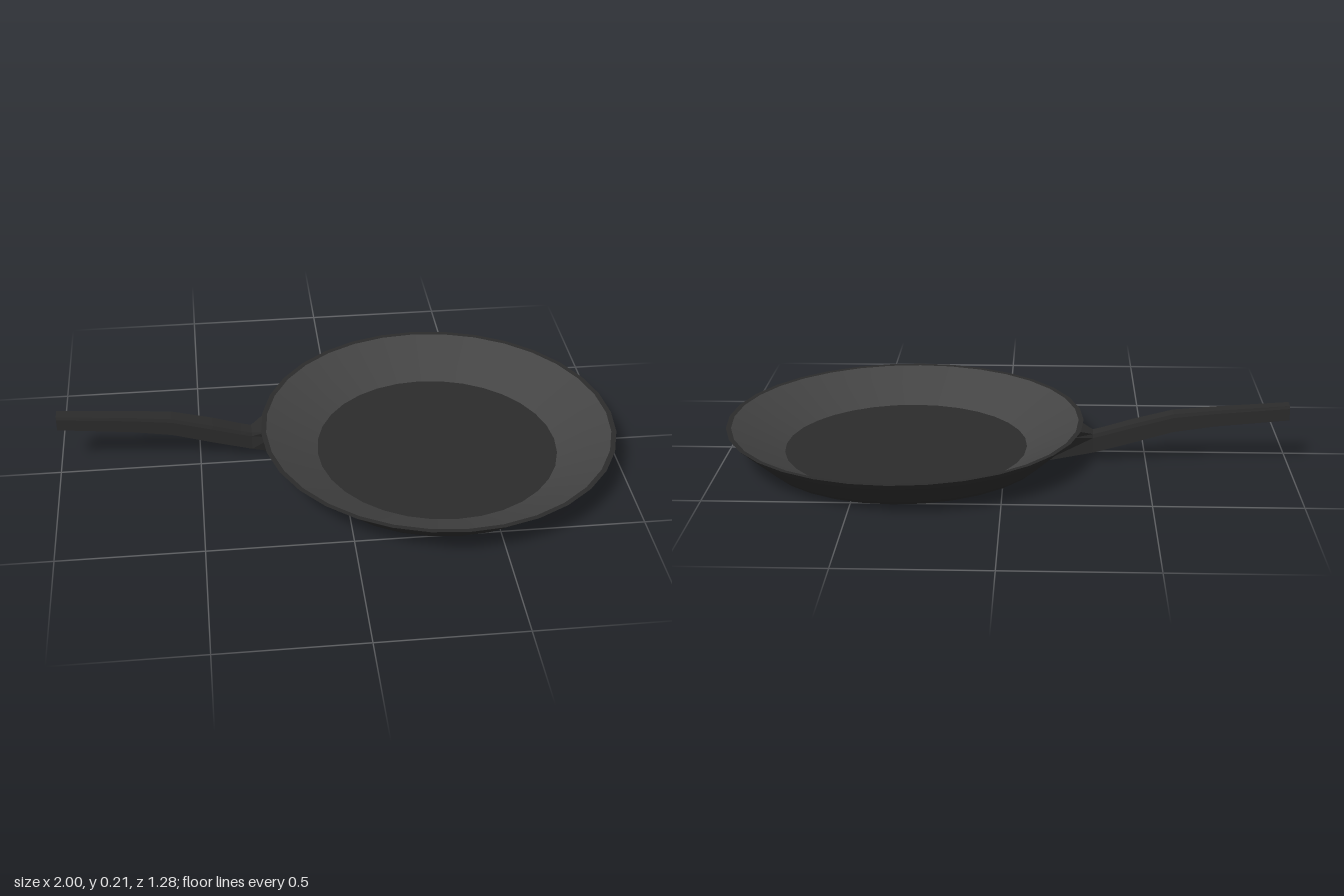
import * as THREE from 'three';

const dark = new THREE.MeshStandardMaterial({ color: 0x2b2b2b });
const wallGrey = new THREE.MeshStandardMaterial({ color: 0x444444 });
const handleDark = new THREE.MeshStandardMaterial({ color: 0x2b2b2b, flatShading: true });

const PAN_X = 0.36, SIDES = 32;

// Revolved part of the pan; profile is a list of [radius, y]
function lathePart(name, profile, material) {
  const points = profile.map(([r, y]) => new THREE.Vector2(r, y));
  const mesh = new THREE.Mesh(new THREE.LatheGeometry(points, SIDES), material);
  mesh.name = name;
  mesh.position.x = PAN_X;
  return mesh;
}

// Loft through sections: top point, bottom point, top width, bottom width
function loftHandle(sections, z0) {
  const rings = sections.map(([tx, ty, bx, by, tw, bw]) => {
    const at = (t, z) => [bx + (tx - bx) * t, by + (ty - by) * t, z0 + z];
    const mid = tw + (bw - tw) * 0.2 + 0.006;
    return [at(1, -tw / 2), at(1, tw / 2), at(0.8, mid / 2),
      at(0, bw / 2), at(0, -bw / 2), at(0.8, -mid / 2)];
  });
  const n = rings[0].length, index = [];
  for (let i = 0; i < rings.length - 1; i++) {
    for (let j = 0; j < n; j++) {
      const a = i * n + j, b = i * n + (j + 1) % n;
      index.push(a, b, a + n, b, b + n, a + n);
    }
  }
  // End caps
  const last = (rings.length - 1) * n;
  for (let j = 1; j < n - 1; j++) {
    index.push(0, j + 1, j, last, last + j, last + j + 1);
  }
  const geometry = new THREE.BufferGeometry();
  geometry.setAttribute('position', new THREE.Float32BufferAttribute(rings.flat(2), 3));
  geometry.setIndex(index);
  geometry.computeVertexNormals();
  return geometry;
}

export function createModel() {
  const group = new THREE.Group();
  group.name = 'fryingPan';

  // Pan: outside, rim, sloping inner wall and cooking floor
  group.add(
    lathePart('outerShell', [[0, 0], [0.51, 0], [0.64, 0.12]], dark),
    lathePart('rim', [[0.64, 0.12], [0.622, 0.119]], dark),
    lathePart('innerWall', [[0.622, 0.119], [0.437, 0.016]], wallGrey),
    lathePart('cookingFloor', [[0.437, 0.016], [0, 0.016]], dark)
  );

  // Curved handle, flaring where it meets the sloping side
  const handle = new THREE.Mesh(loftHandle([
    [-1.0, 0.21, -1.0, 0.157, 0.042, 0.048],
    [-0.74, 0.19, -0.74, 0.132, 0.045, 0.053],
    [-0.595, 0.176, -0.595, 0.111, 0.05, 0.06],
    [-0.45, 0.138, -0.46, 0.072, 0.054, 0.064],
    [-0.35, 0.108, -0.35, 0.04, 0.05, 0.06],
    [-0.312, 0.098, -0.312, 0.029, 0.05, 0.058],
    [-0.262, 0.119, -0.14, 0.003, 0.12, 0.1],
  ], -0.062), handleDark);
  handle.name = 'handle';
  group.add(handle);

  return group;
}
